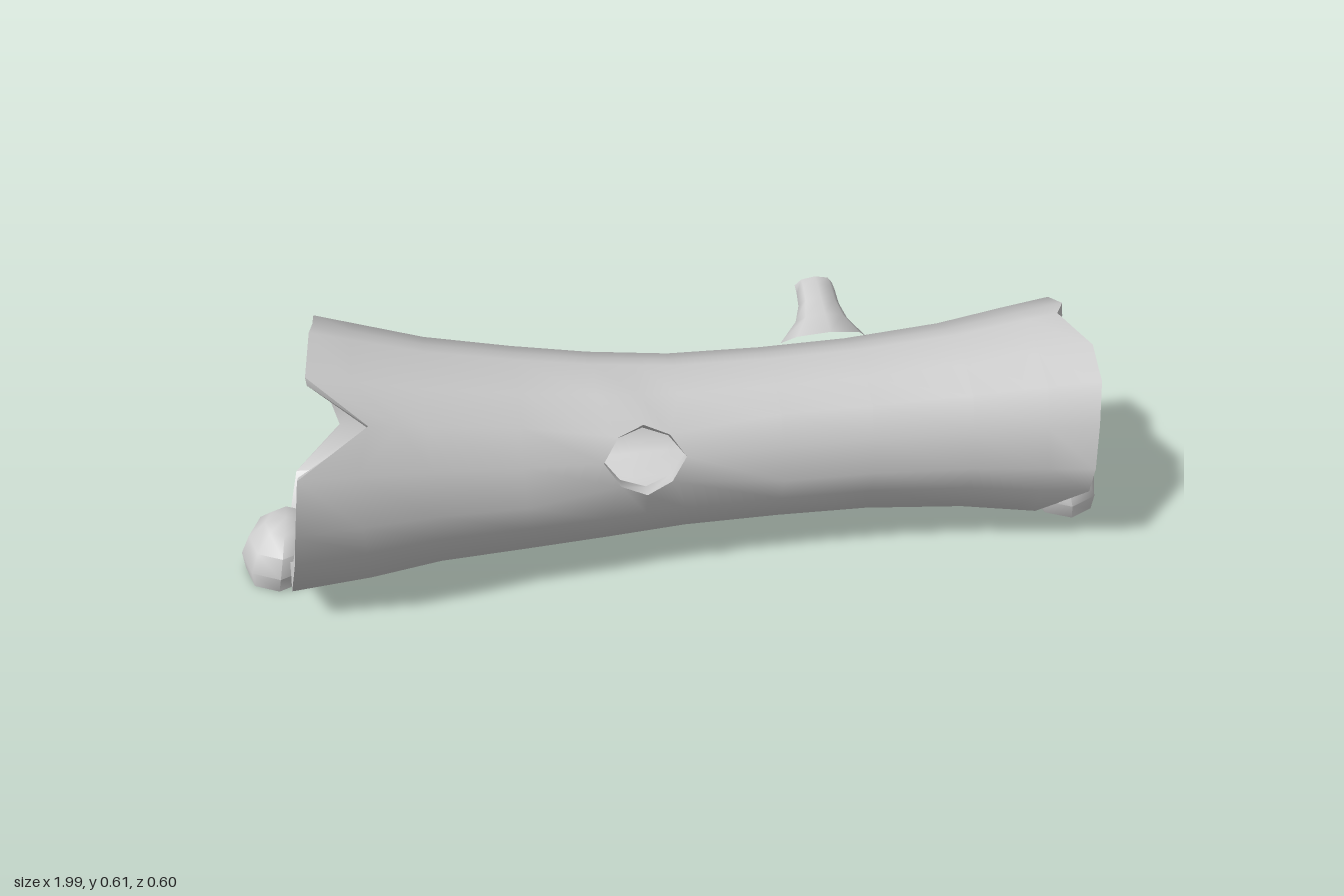
import * as THREE from 'three';
import { toCreasedNormals } from 'three/addons/utils/BufferGeometryUtils.js';

const material = new THREE.MeshStandardMaterial({ color: 0xcccccc });

// [x, radius, centre height] along the log
const STATIONS = [
  [-0.8, 0.303, 0.315], [-0.55, 0.25, 0.293], [-0.25, 0.215, 0.268], [0.05, 0.19, 0.261],
  [0.4, 0.196, 0.264], [0.62, 0.213, 0.265], [0.88, 0.254, 0.266],
];
// ragged end positions around the log: top, front, bottom, back
const LEFT = [-0.78, -0.79, -0.67, -0.82, -0.835, -0.85, -0.87, -0.88, -0.89, -0.885, -0.87, -0.76, -0.79, -0.79, -0.785, -0.78];
const RIGHT = [0.845, 0.9, 0.895, 0.89, 0.88, 0.89, 0.79, 0.88, 0.88, 0.88, 0.89, 0.88, 0.65, 0.79, 0.89, 0.89];
const COLUMNS = [-0.89, -0.7, -0.55, -0.36, -0.19, -0.1, -0.01, 0.2, 0.4, 0.62, 0.78, 0.89];
const SIDES = 16;

function section(x) {
  let k = 0;
  while (k < STATIONS.length - 2 && x > STATIONS[k + 1][0]) k++;
  const a = STATIONS[k], b = STATIONS[k + 1];
  const t = THREE.MathUtils.clamp((x - a[0]) / (b[0] - a[0]), 0, 1);
  return [a[1] + (b[1] - a[1]) * t, a[2] + (b[2] - a[2]) * t];
}

// point on the eight-sided wall; i counts sixteenths of a turn from the top
function wallPoint(x, i, thickness) {
  const [radius, cy] = section(x);
  const angle = (i / SIDES) * Math.PI * 2, half = Math.PI / 8;
  const r = (radius - thickness) * Math.cos(half) / Math.cos((angle % (2 * half)) - half);
  return [x, cy + r * Math.cos(angle), r * Math.sin(angle)];
}

function logGeometry() {
  const n = COLUMNS.length, outer = [], inner = [];
  for (let j = 0; j < n; j++) {
    for (let i = 0; i < SIDES; i++) {
      let x = COLUMNS[j], side = i;
      if (j === 0) x = LEFT[i];
      if (j === 1) x = Math.max(x, LEFT[i] + 0.06);
      if (j >= n - 3) x = j === n - 1 ? RIGHT[i] : Math.min(x, RIGHT[i] - 0.05 * (n - 1 - j));
      // round the corners of the knot hole
      if ((j === 4 || j === 6) && (i === 2 || i === 4)) {
        x = -0.1 + (x + 0.1) * 0.62;
        side = 3 + (i - 3) * 0.7;
      }
      outer.push(...wallPoint(x, side, 0));
      inner.push(...wallPoint(x, side, 0.032));
    }
  }
  const offset = n * SIDES, index = [], edges = new Set();
  for (let j = 0; j < n - 1; j++) {
    for (let i = 0; i < SIDES; i++) {
      if ((j === 4 || j === 5) && (i === 2 || i === 3)) continue; // knot hole
      const i2 = (i + 1) % SIDES;
      const q = [j * SIDES + i, j * SIDES + i2, (j + 1) * SIDES + i2, (j + 1) * SIDES + i];
      index.push(q[0], q[1], q[2], q[0], q[2], q[3]);
      for (const k of [0, 2, 1, 0, 3, 2]) index.push(q[k] + offset);
      q.forEach((p, k) => edges.add(p + '_' + q[(k + 1) % 4]));
    }
  }
  // close every open edge (both ends and the hole) across the wall thickness
  for (const edge of edges) {
    const [p, q] = edge.split('_').map(Number);
    if (edges.has(q + '_' + p)) continue;
    index.push(q, p, p + offset, q, p + offset, q + offset);
  }
  const geometry = new THREE.BufferGeometry();
  geometry.setAttribute('position', new THREE.Float32BufferAttribute([...outer, ...inner], 3));
  geometry.setIndex(index);
  return toCreasedNormals(geometry, 1.1);
}

// bent stub: rings of [y, z, half width, half height, tilt]
function stubGeometry() {
  const rings = [
    [0.405, -0.135, 0.1, 0.085, 0.8], [0.44, -0.165, 0.06, 0.05, 0.75],
    [0.46, -0.2, 0.047, 0.034, 0.5], [0.474, -0.235, 0.045, 0.032, 0.4],
    [0.478, -0.263, 0.044, 0.03, 0.42], [0.478, -0.265, 0.001, 0.001, 0.42],
  ];
  const sides = 8, positions = [], index = [];
  rings.forEach(([y, z, w, h, tilt], j) => {
    for (let i = 0; i < sides; i++) {
      const a = (i / sides) * Math.PI * 2, v = h * Math.sin(a);
      positions.push(0.35 + w * Math.cos(a), y + v * Math.cos(tilt), z + v * Math.sin(tilt));
      if (j === rings.length - 1) continue;
      const p = j * sides + i, q = j * sides + (i + 1) % sides;
      index.push(p, p + sides, q, q, p + sides, q + sides);
    }
  });
  const geometry = new THREE.BufferGeometry();
  geometry.setAttribute('position', new THREE.Float32BufferAttribute(positions, 3));
  geometry.setIndex(index);
  return toCreasedNormals(geometry, 1.1);
}

// rounded stone with a flat foot, low side pushed outwards
function stoneGeometry(direction) {
  const geometry = new THREE.SphereGeometry(1, 8, 6);
  const p = geometry.attributes.position;
  for (let i = 0; i < p.count; i++) {
    const y = Math.max(p.getY(i), -0.5);
    const lean = 0.018 * (0.5 - y);
    const x = Math.min(0.895 + p.getX(i) * direction * 0.09 + lean, 1);
    p.setXYZ(i, direction * x, 0.005 + (y + 0.5) * 0.089, p.getZ(i) * 0.11);
  }
  return toCreasedNormals(geometry, 1);
}

export function createModel() {
  const group = new THREE.Group();
  const add = (name, geometry) => {
    const mesh = new THREE.Mesh(geometry, material);
    mesh.name = name;
    group.add(mesh);
  };
  add('hollowLog', logGeometry());
  add('branchStub', stubGeometry());
  add('leftStone', stoneGeometry(1));
  add('rightStone', stoneGeometry(-1));
  return group;
}
